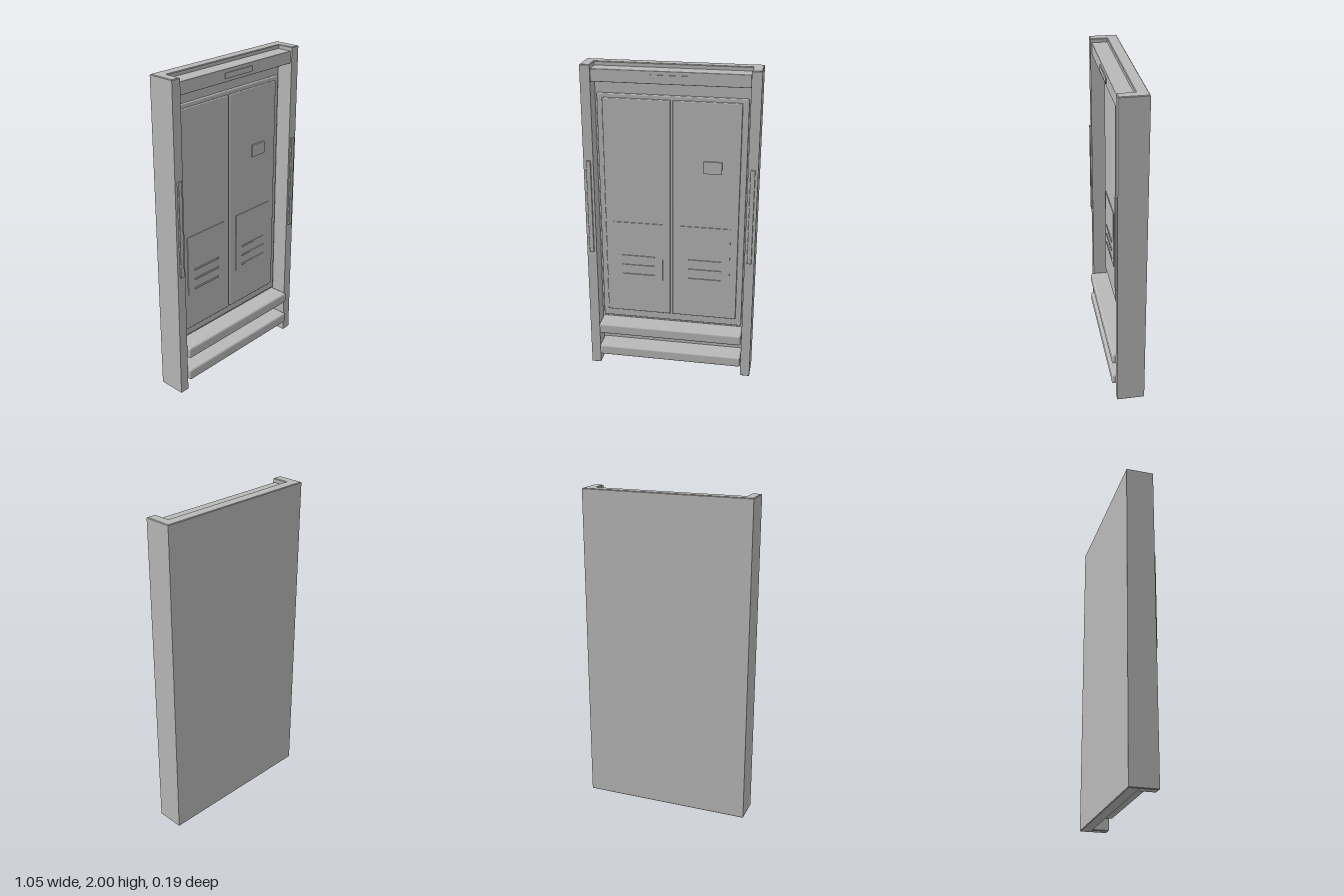
import * as THREE from 'three';
import { RoundedBoxGeometry } from 'three/addons/geometries/RoundedBoxGeometry.js';

export function createModel() {
  const model = new THREE.Group();
  model.name = 'doorway';
  const metal = new THREE.MeshStandardMaterial({ color: 0xb8b8b8 });
  metal.name = 'grey metal';

  const add = (name, geometry) => {
    const mesh = new THREE.Mesh(geometry, metal);
    mesh.name = name;
    model.add(mesh);
  };
  // Box given by its limits, with optionally softened edges
  const box = (name, x0, x1, y0, y1, z0, z1, radius = 0) => {
    const size = [x1 - x0, y1 - y0, z1 - z0];
    const g = radius ? new RoundedBoxGeometry(...size, 2, radius) : new THREE.BoxGeometry(...size);
    g.translate((x0 + x1) / 2, (y0 + y1) / 2, (z0 + z1) / 2);
    add(name, g);
  };

  // Frame: back slab and side posts as one channel section, extruded upward
  const back = -0.097, recess = -0.03, front = 0.073, outer = 0.525, inner = 0.465;
  const section = [
    [-outer, back], [outer, back], [outer, front], [inner, front],
    [inner, recess], [-inner, recess], [-inner, front], [-outer, front],
  ].map(([x, z]) => new THREE.Vector2(x, -z));
  const bevel = 0.004;
  const frame = new THREE.ExtrudeGeometry(new THREE.Shape(section), {
    depth: 2 - 2 * bevel, bevelThickness: bevel, bevelSize: bevel,
    bevelOffset: -bevel, bevelSegments: 1,
  });
  frame.rotateX(-Math.PI / 2).translate(0, bevel, 0);
  add('frame', frame);

  // Header beam with its thin lamp
  box('header', -inner, inner, 1.9, 1.976, recess - 0.01, 0.065, 0.004);
  box('headerLamp', -0.115, 0.115, 1.922, 1.954, 0.06, 0.071);

  // Two bumper rails across the foot of the opening
  for (const y of [0.075, 0.235]) {
    box('bumperRail', -0.463, 0.463, y, y + 0.07, recess - 0.02, 0.095, 0.013);
  }

  // Door surround
  box('doorSurround', -0.454, 0.452, 0.318, 1.815, recess - 0.02, -0.016, 0.007);

  for (const side of [-1, 1]) {
    // Door leaf
    const [x0, x1] = side < 0 ? [-0.42, -0.009] : [0.005, 0.415];
    box('doorLeaf', x0, x1, 0.37, 1.79, -0.03, -0.004, 0.006);

    // Vent plate with three slats
    const c = side < 0 ? -0.214 : 0.211;
    box('ventPlate', c - 0.157, c + 0.157, 0.61, 1.0, -0.01, 0.001);
    for (const y of [0.64, 0.705, 0.77]) {
      box('ventSlat', c - 0.104, c + 0.104, y - 0.005, y + 0.005, -0.004, 0.007);
    }

    // Light strip on the post
    const s = side * 0.494;
    box('postStrip', s - 0.014, s + 0.014, 0.815, 1.42, 0.065, 0.083, 0.003);
  }

  // Small control plate on the left leaf
  box('controlPlate', 0.195, 0.306, 1.354, 1.43, -0.01, 0.006);

  return model;
}
